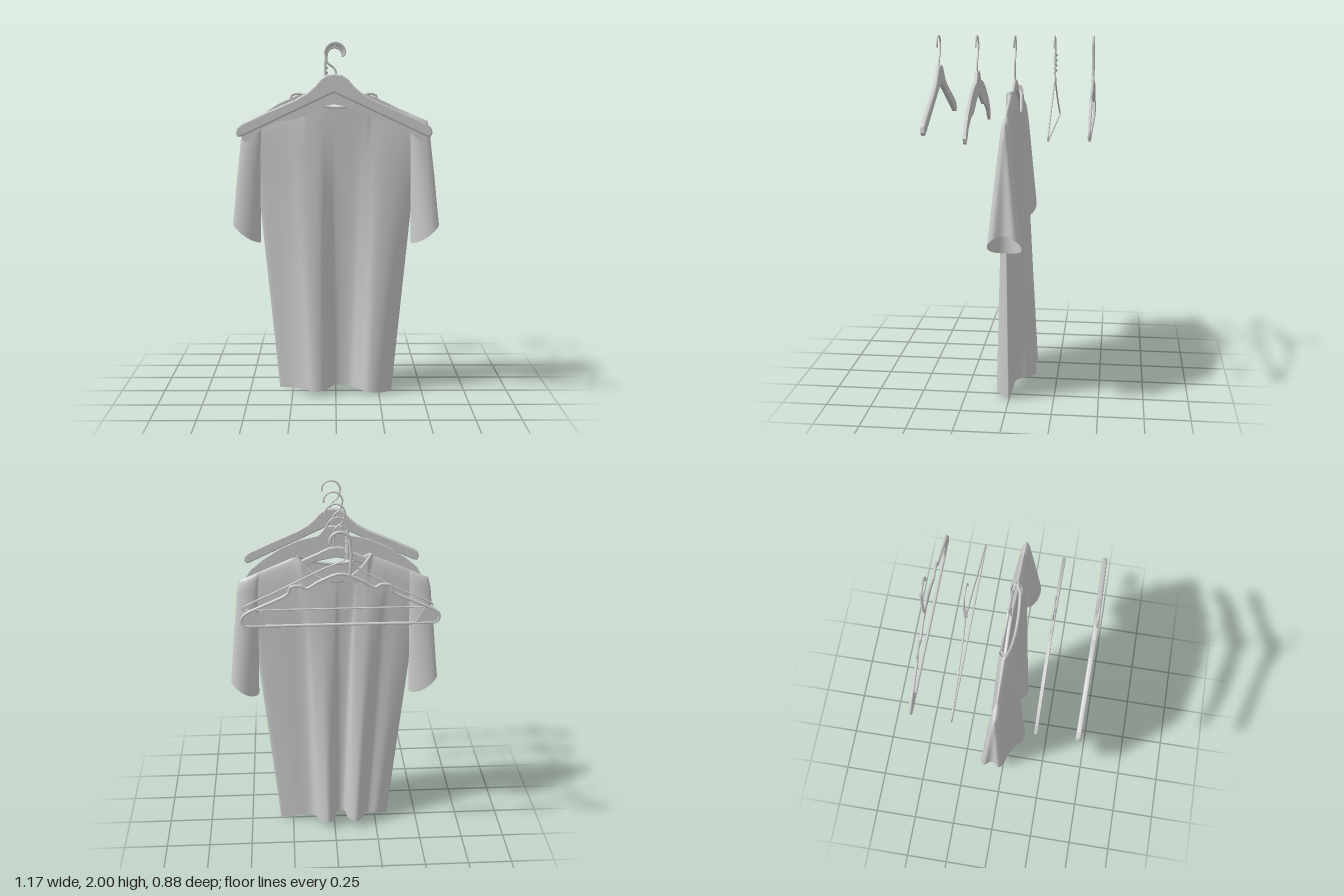
import * as THREE from 'three';

const solid = new THREE.MeshStandardMaterial({ color: 0xcccccc });
const cloth = new THREE.MeshStandardMaterial({ color: 0xcccccc, side: THREE.DoubleSide });
const V = (x, y, z = 0) => new THREE.Vector3(x, y, z);

function add(parent, name, geometry, material = solid) {
  const mesh = new THREE.Mesh(geometry, material);
  mesh.name = name;
  parent.add(mesh);
  return mesh;
}

// Tube along [x, y, z] points; corner rounding set by tension
function tube(points, r, closed = false, seg = 60, tension = 0.5) {
  const curve = new THREE.CatmullRomCurve3(points.map(p => V(...p)), closed, 'catmullrom', tension);
  return new THREE.TubeGeometry(curve, seg, r, 8, closed);
}

// Symmetric flat board from right-half points listed from top centre to bottom centre
function board(half, depth, bevel) {
  const left = half.slice(1, -1).reverse().map(([x, y]) => [-x, y]);
  const shape = new THREE.Shape([...half, ...left].map(([x, y]) => new THREE.Vector2(x, y)));
  const d = depth - 2 * bevel;
  return new THREE.ExtrudeGeometry(shape, {
    depth: d, bevelEnabled: bevel > 0, bevelSize: bevel, bevelThickness: bevel,
    bevelOffset: -bevel, bevelSegments: 3
  }).translate(0, 0, -d / 2);
}

// Smooth closed sheet of stacked loops; fn(column fraction, row fraction) -> Vector3
function loft(cols, rows, fn) {
  const pos = [], idx = [];
  for (let j = 0; j <= rows; j++)
    for (let i = 0; i < cols; i++) pos.push(...fn(i / cols, j / rows).toArray());
  for (let j = 0; j < rows; j++)
    for (let i = 0; i < cols; i++) {
      const a = j * cols + i, b = j * cols + (i + 1) % cols, c = a + cols, d = b + cols;
      idx.push(a, b, d, a, d, c);
    }
  const g = new THREE.BufferGeometry();
  g.setAttribute('position', new THREE.Float32BufferAttribute(pos, 3));
  g.setIndex(idx);
  g.computeVertexNormals();
  return g;
}

// Linear interpolation through [t, value] stops
function ramp(stops, t) {
  for (let i = 1; i < stops.length; i++) {
    const [t0, v0] = stops[i - 1], [t1, v1] = stops[i];
    if (t <= t1) return v0 + (v1 - v0) * (t - t0) / (t1 - t0);
  }
  return stops[stops.length - 1][1];
}

// Hook: stem, side bend, round crook and open tip
function hook(base, r, bend = true) {
  const pts = bend ? [[0.01, base, 0], [0.01, 1.84, 0], [-0.005, 1.87, 0], [-0.035, 1.895, 0]]
    : [[-0.045, base, 0], [-0.05, 1.84, 0], [-0.05, 1.89, 0]];
  const R = 0.057 - r;
  for (let a = 180; a >= -10; a -= 19) {
    const t = a * Math.PI / 180;
    pts.push([0.005 + R * Math.cos(t), 1.943 + R * Math.sin(t), 0]);
  }
  return tube(pts, r);
}

const shoulderY = x => 1.71 - 0.43 * Math.max(0, Math.abs(x) - 0.2);
const NECK = 0.2;
const neckY = (x, side) => shoulderY(x) -
  (Math.abs(x) < NECK ? (side > 0 ? 0.06 : 0.14) * (1 - (x / NECK) ** 2) : 0);

// Hem folds of the front and back panels: [x, z]
const folds = {
  '1': [[-.325, 0], [-.25, .025], [-.19, .06], [-.13, .108], [-.07, .1], [-.03, .03], [0, -.01], [.08, -.01],
    [.13, .035], [.18, .08], [.24, .075], [.29, .04], [.325, 0]],
  '-1': [[-.325, 0], [-.26, -.03], [-.2, -.03], [-.17, -.09], [-.13, -.128], [-.085, -.1], [-.06, -.02],
    [-.02, -.02], [0, -.1], [.04, -.133], [.09, -.1], [.13, -.03], [.24, -.012], [.325, 0]]
};
const panels = {};
for (const s of [1, -1])
  panels[s] = new THREE.CatmullRomCurve3(folds[s].map(([x, z]) => V(x, 0, z)));

function bodyPoint(c, v) {
  const side = c < 0.5 ? 1 : -1;
  const p = panels[side].getPoint(side > 0 ? c * 2 : 2 - c * 2);
  const u = THREE.MathUtils.clamp(p.x / 0.325, -1, 1);
  v = 1 - (1 - v) ** 1.6;
  const x = u * ramp([[0, 0.325], [0.55, 0.41], [0.75, 0.44], [0.92, 0.5], [1, 0.5]], v);
  const hem = 0.03 - 0.01 * u - 0.02 * u * u + (side < 0 ? 0.02 * (1 - u * u) : 0);
  const open = THREE.MathUtils.smoothstep(NECK + 0.02 - Math.abs(x), 0, 0.04);
  const cap = Math.max(open, Math.sqrt(1 - v ** 14));
  const z = p.z * (1 - v) + side * 0.033 * v * cap * Math.sqrt(1 - u * u);
  return V(x, hem + (neckY(x, side) - hem) * v, z);
}

function sleeve(side, depth, zMid) {
  return loft(40, 30, (c, v) => {
    const a = c * Math.PI * 2, co = -Math.cos(a), out = co * side;
    v = 1 - (1 - v) ** 1.5;
    const outer = ramp([[0, 0.605], [0.5, 0.57], [0.9, 0.535], [1, 0.515]], v);
    const inner = ramp([[0, 0.43], [0.5, 0.42], [1, 0.4]], v);
    const mid = (outer + inner) / 2, pinch = out > 0 ? 0.04 * (1 - v) * out ** 10 : 0;
    const x = mid + out * (outer - inner) / 2 - pinch;
    const hem = 0.945 + 0.065 * out - 0.02 * Math.sin(a) ** 2;
    const rz = (depth + (0.03 - depth) * Math.min(1, v * 1.15)) * Math.sqrt(1 - v ** 12);
    return V(side * x, hem + (shoulderY(x) - hem) * v,
      zMid * (1 - v) + rz * Math.sin(a) * (1 + 0.15 * out * (1 - v)));
  });
}

function makeShirt() {
  const shirt = new THREE.Group();
  shirt.name = 'shirt';
  add(shirt, 'shirtBody', loft(160, 60, bodyPoint), cloth);
  add(shirt, 'leftSleeve', sleeve(1, 0.09, 0), cloth);
  add(shirt, 'rightSleeve', sleeve(-1, 0.065, -0.015), cloth);
  // Collar rib around the neck opening
  const rib = [];
  for (const s of [1, -1])
    for (let i = 0; i < 12; i++) {
      const x = s * (-NECK + 2 * NECK * i / 12);
      rib.push([x, neckY(x, s), s * 0.031 * Math.sqrt(1 - (x / 0.205) ** 2)]);
    }
  add(shirt, 'collarRib', tube(rib, 0.008, true, 80));
  return shirt;
}

function hanger(name, z) {
  const g = new THREE.Group();
  g.name = name;
  g.position.set(-0.01, 0, z);
  return g;
}

export function createModel() {
  const model = new THREE.Group();
  model.add(makeShirt());

  // Thick rounded hanger in front
  const thick = hanger('thickHanger', 0.425);
  add(thick, 'thickHangerArms', board([[0, 1.836], [0.04, 1.83], [0.07, 1.81], [0.1, 1.775], [0.14, 1.74],
    [0.2, 1.705], [0.35, 1.64], [0.48, 1.58], [0.505, 1.56], [0.512, 1.53], [0.5, 1.512], [0.48, 1.515],
    [0, 1.74]], 0.026, 0.008));
  add(thick, 'thickHangerHook', hook(1.8, 0.005));

  // Flat contoured hanger
  const flat = hanger('flatHanger', 0.21);
  add(flat, 'flatHangerArms', board([[0, 1.8], [0.045, 1.8], [0.06, 1.775], [0.09, 1.745], [0.14, 1.735],
    [0.2, 1.72], [0.3, 1.675], [0.4, 1.61], [0.47, 1.55], [0.5, 1.5], [0.495, 1.478], [0.475, 1.468],
    [0.44, 1.495], [0.4, 1.535], [0.31, 1.58], [0.2, 1.595], [0.11, 1.64], [0.05, 1.665], [0, 1.673]],
    0.016, 0));
  add(flat, 'flatHangerHook', hook(1.78, 0.005));

  // Hanger carrying the shirt
  const inner = hanger('shirtHanger', 0);
  add(inner, 'shirtHangerArms', board([[0, 1.76], [0.04, 1.755], [0.1, 1.725], [0.2, 1.68], [0.35, 1.615],
    [0.46, 1.565], [0.48, 1.545], [0.47, 1.53], [0.44, 1.535], [0.2, 1.635], [0.1, 1.68], [0, 1.7]],
    0.018, 0.006));
  add(inner, 'shirtHangerHook', hook(1.74, 0.005));

  // Wire hanger with twisted neck
  const wire = hanger('wireHanger', -0.22);
  add(wire, 'wireFrame', tube([[-0.045, 1.78, 0], [-0.02, 1.76, 0], [0.1, 1.71, 0], [0.3, 1.61, 0],
    [0.47, 1.53, 0], [0.5, 1.51, 0], [0.48, 1.495, 0], [0.3, 1.495, 0], [0, 1.495, 0], [-0.3, 1.495, 0],
    [-0.48, 1.495, 0], [-0.5, 1.51, 0], [-0.47, 1.53, 0], [-0.3, 1.61, 0], [-0.12, 1.71, 0]],
    0.0045, true, 160));
  const twist = [];
  for (let i = 0; i <= 32; i++) {
    const a = i * Math.PI / 4;
    twist.push([-0.047 + 0.009 * Math.cos(a), 1.785 + i * 0.0035, 0.009 * Math.sin(a)]);
  }
  add(wire, 'wireTwist', tube(twist, 0.004, false, 110));
  add(wire, 'wireHook', hook(1.77, 0.0045, false));

  // Moulded hanger with strap notches at the back
  const moulded = hanger('notchedHanger', -0.43);
  const arm = [[0.1, 1.74, 0], [0.17, 1.7, 0], [0.2, 1.715, 0], [0.25, 1.71, 0], [0.27, 1.67, 0],
    [0.36, 1.625, 0], [0.47, 1.575, 0], [0.502, 1.54, 0], [0.495, 1.508, 0], [0.46, 1.5, 0], [0.2, 1.5, 0]];
  const mirrored = arm.map(([x, y, z]) => [-x, y, z]).reverse();
  add(moulded, 'notchedFrame', tube([[0, 1.775, 0], ...arm, ...mirrored], 0.008, true, 200));
  add(moulded, 'notchedHook', hook(1.76, 0.008, false));
  for (const s of [-1, 1]) {
    // Solid web filling each tip
    const web = new THREE.Shape([[0.38, 1.5], [0.49, 1.5], [0.5, 1.54], [0.47, 1.575], [0.43, 1.59]]
      .map(([x, y]) => new THREE.Vector2(s * x, y)));
    add(moulded, s > 0 ? 'leftTipWeb' : 'rightTipWeb',
      new THREE.ExtrudeGeometry(web, { depth: 0.008, bevelEnabled: false }).translate(0, 0, -0.004));
  }
  add(moulded, 'neckWeb', board([[0, 1.775], [0.1, 1.74], [0.09, 1.725], [0, 1.74]], 0.01, 0));

  model.add(thick, flat, inner, wire, moulded);
  return model;
}
